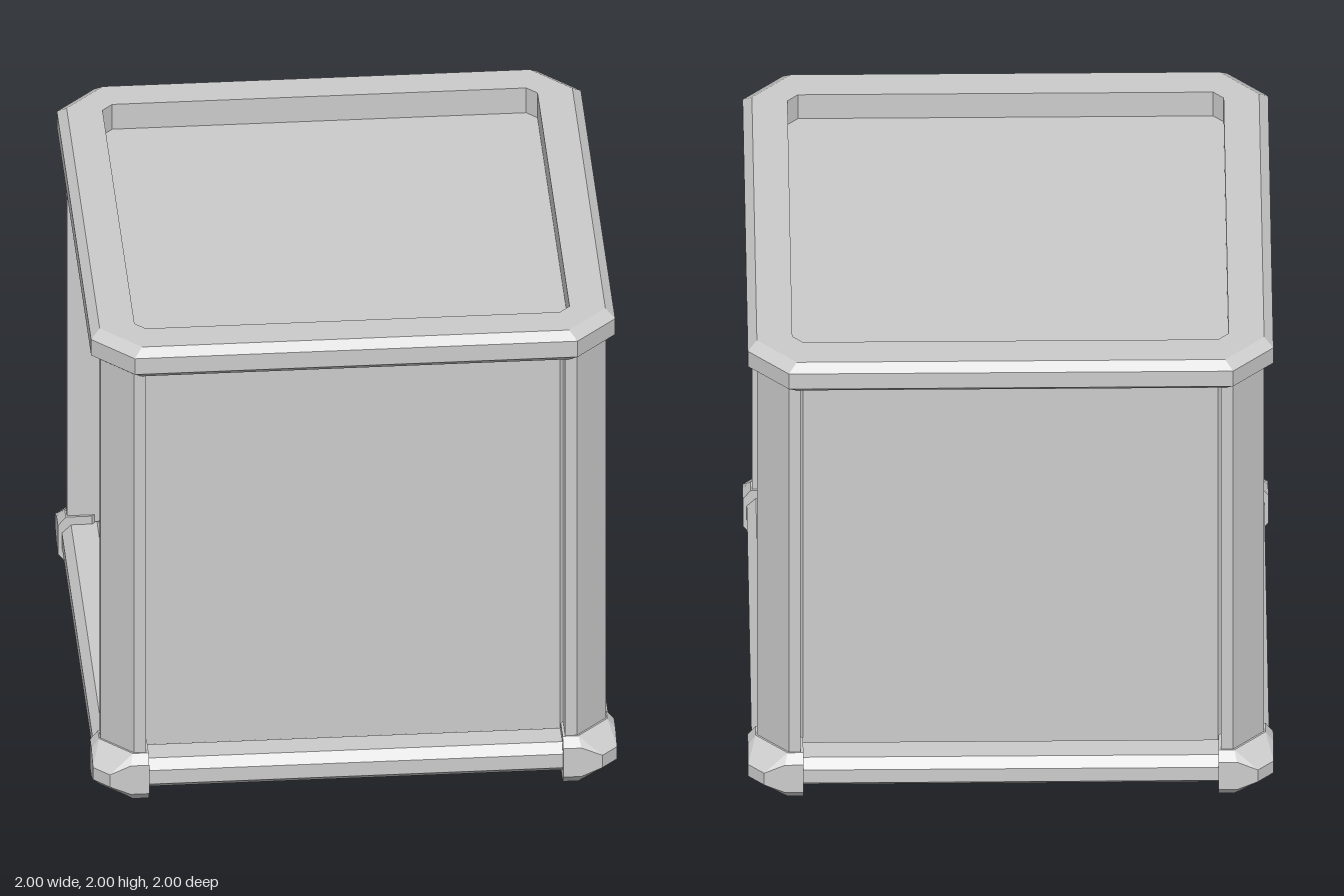
import * as THREE from 'three';
import { ConvexGeometry } from 'three/addons/geometries/ConvexGeometry.js';

const material = new THREE.MeshStandardMaterial({ color: 0xcccccc, flatShading: true, side: THREE.DoubleSide });

// Square outline with cut corners, h = half width, c = corner cut
function octagon([h, c, y]) {
  const k = h - c;
  return [[h, k], [h, -k], [k, -h], [-k, -h], [-h, -k], [-h, k], [-k, h], [k, h]]
    .map(([x, z]) => [x, y, z]);
}

// Closed band through sections [h, c, y]: inner bottom, inner top, outer top ... outer bottom
function band(sections) {
  const rings = sections.map(octagon);
  const pos = [];
  rings.forEach((a, s) => {
    const b = rings[(s + 1) % rings.length];
    for (let i = 0; i < 8; i++) {
      const j = (i + 1) % 8;
      pos.push(...a[i], ...b[i], ...b[j], ...a[i], ...b[j], ...a[j]);
    }
  });
  const g = new THREE.BufferGeometry();
  g.setAttribute('position', new THREE.Float32BufferAttribute(pos, 3));
  g.computeVertexNormals();
  return g;
}

function polygon(points) {
  return new THREE.Shape(points.map(([x, y]) => new THREE.Vector2(x, y)));
}

// Mirrors a plan half [x, z] across the corner diagonal into a full outline
function mirrored(half) {
  return [...half, ...half.map(([x, z]) => [z, x]).reverse()];
}

export function createModel() {
  const group = new THREE.Group();
  const add = (name, geometry) => {
    const mesh = new THREE.Mesh(geometry, material);
    mesh.name = name;
    group.add(mesh);
    return mesh;
  };

  // Bevelled rim around the top
  add('topRim', band([
    [0.83, 0.04, 1.87], [0.83, 0.04, 2], [0.965, 0.15, 2],
    [1, 0.155, 1.97], [1, 0.155, 1.9], [0.965, 0.15, 1.87],
  ]));

  // Sunken lid
  add('lid', new THREE.BoxGeometry(1.67, 0.03, 1.67)).position.y = 1.875;

  // Four side panels, open below
  add('sidePanels', band([
    [0.8, 0.03, 0.1], [0.8, 0.03, 1.87], [0.83, 0.04, 1.87], [0.83, 0.04, 0.1],
  ]));

  // Corner posts, drawn in plan and stood upright
  const postGeometry = new THREE.ExtrudeGeometry(
    polygon(mirrored([[0.8, 0.83], [0.8, 0.965], [0.845, 0.965]])),
    { depth: 1.71, bevelEnabled: false });
  postGeometry.rotateX(Math.PI / 2).translate(0, 1.88, 0);

  // Bottom beam: eight-sided profile in z and y, run along x
  const beamGeometry = new THREE.ExtrudeGeometry(
    polygon([[0.82, 0.07], [0.85, 0.04], [0.95, 0.04], [0.985, 0.07],
      [0.985, 0.13], [0.95, 0.165], [0.85, 0.165], [0.82, 0.13]]),
    { depth: 1.66, bevelEnabled: false });
  beamGeometry.translate(0, 0, -0.83).rotateY(-Math.PI / 2);

  // Faceted foot, mirrored across the diagonal and about mid height
  const footPoints = [];
  const half = [[0.79, 0.87, 0.1], [0.79, 0.97, 0.1], [0.85, 0.97, 0.1],
    [0.79, 1, 0.063], [0.86, 1, 0.063], [0.94, 1, 0.027]];
  for (const [x, z, dy] of half) {
    for (const y of [0.1 - dy, 0.1 + dy]) {
      footPoints.push(new THREE.Vector3(x, y, z), new THREE.Vector3(z, y, x));
    }
  }
  const footGeometry = new ConvexGeometry(footPoints);

  for (let i = 0; i < 4; i++) {
    const turn = i * Math.PI / 2;
    add('cornerPost', postGeometry).rotation.y = turn;
    add('bottomBeam', beamGeometry).rotation.y = turn;
    add('foot', footGeometry).rotation.y = turn;
  }
  return group;
}
